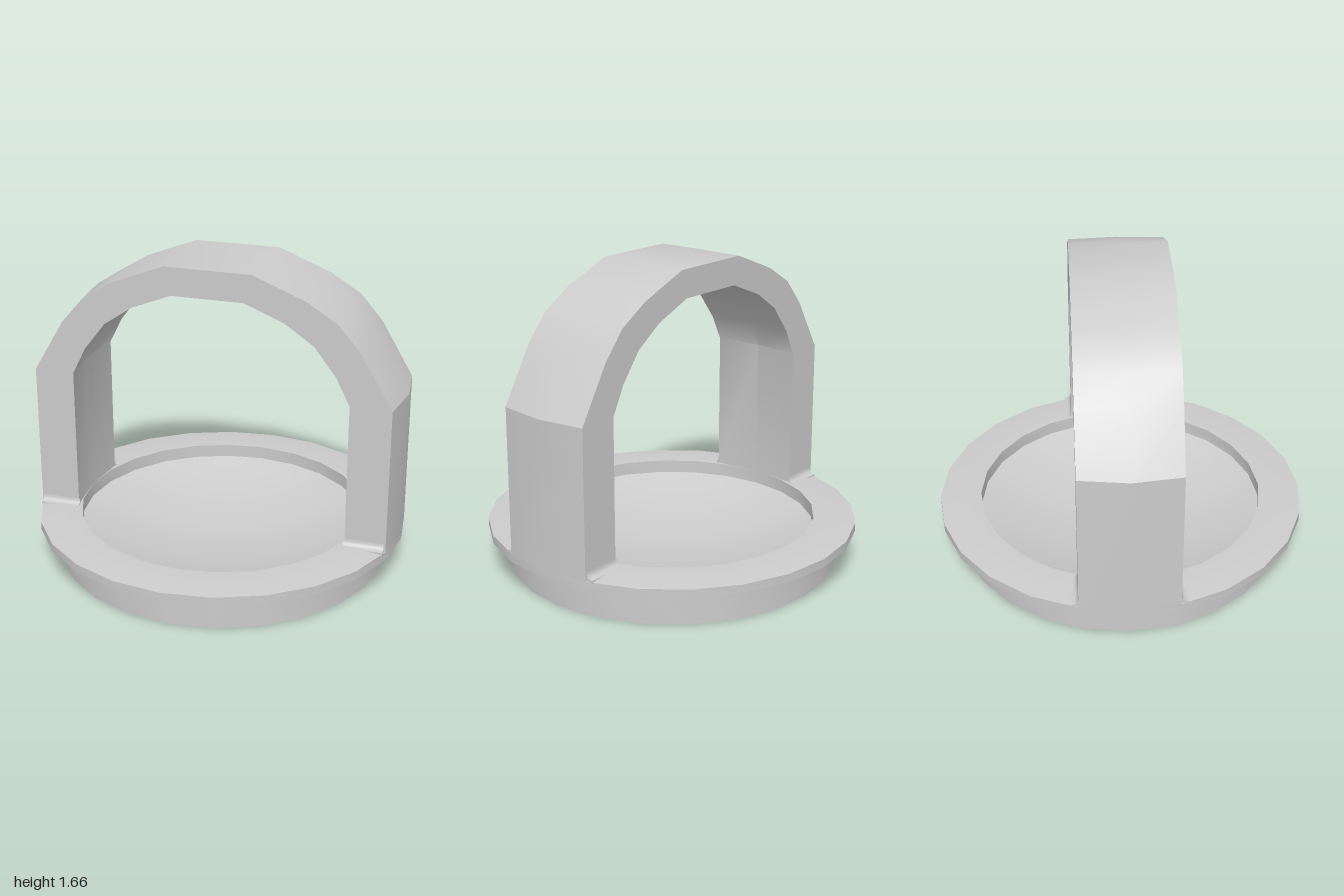
import * as THREE from 'three';
import { toCreasedNormals } from 'three/addons/utils/BufferGeometryUtils.js';

const SIDES = 24;
const HALF_WIDTH = Math.sin(Math.PI / 12);  // strap covers one facet either side of the x axis
const EDGE_SCALE = Math.cos(Math.PI / 12);  // strap edges sit on the next rim corner
const CREASE = 0.5;

export function createModel() {
  const model = new THREE.Group();
  const material = new THREE.MeshStandardMaterial({ color: 0xcccccc });
  const add = (name, geometry) => {
    const mesh = new THREE.Mesh(toCreasedNormals(geometry, CREASE), material);
    mesh.name = name;
    model.add(mesh);
    return mesh;
  };

  // Base: foot, overhanging rim, inner step and shallow bowl
  const profile = [
    [0, 0], [0.89, 0], [0.89, 0.175], [1, 0.195], [1, 0.24],
    [0.89, 0.253], [0.775, 0.253], [0.775, 0.18],
  ];
  const bowlRings = 7;
  for (let i = 1; i <= bowlRings; i++) {
    const t = 1 - i / bowlRings;
    profile.push([0.775 * t, 0.04 + 0.14 * t * t]);
  }
  add('base', new THREE.LatheGeometry(profile.map(p => new THREE.Vector2(...p)), SIDES));

  // Arched handle: six-point section swept over matching outer and inner outlines
  const half = [
    // outer x, y, inner x, y
    [1, 0.24, 0.775, 0.24],
    [1, 1.025, 0.775, 1.025],
    [0.825, 1.31, 0.70, 1.17],
    [0.70, 1.45, 0.58, 1.32],
    [0.53, 1.55, 0.42, 1.425],
    [0.24, 1.66, 0.20, 1.51],
  ];
  const stations = [
    ...half,
    ...half.slice().reverse().map(([ox, oy, ix, iy]) => [-ox, oy, -ix, iy]),
  ];
  const positions = [];
  const index = [];
  stations.forEach(([ox, oy, ix, iy], s) => {
    for (const k of [-1, 0, 1]) positions.push(ox * (k ? EDGE_SCALE : 1), oy, k * HALF_WIDTH);
    for (const k of [1, 0, -1]) positions.push(ix * (k ? EDGE_SCALE : 1), iy, k * HALF_WIDTH);
    if (s === stations.length - 1) return;
    for (let j = 0; j < 6; j++) {
      const a = s * 6 + j;
      const b = s * 6 + (j + 1) % 6;
      index.push(a, a + 6, b, b, a + 6, b + 6);
    }
  });
  const handle = new THREE.BufferGeometry();
  handle.setAttribute('position', new THREE.Float32BufferAttribute(positions, 3));
  handle.setIndex(index);
  add('handle', handle);

  // Small fillets where each leg meets the rim
  const r = 0.035;
  const length = 0.215;
  for (const side of [-1, 1]) {
    for (const face of [-1, 1]) {
      const shape = new THREE.Shape();
      shape.moveTo(0, -0.012);
      shape.lineTo(-face * r, -0.012);
      shape.lineTo(-face * r, 0);
      shape.quadraticCurveTo(0, 0, 0, r);
      const geometry = new THREE.ExtrudeGeometry(shape, {
        depth: length, bevelEnabled: false, curveSegments: 5,
      });
      geometry.rotateY(Math.PI / 2);
      const fillet = add('legFillet', geometry);
      fillet.position.set(side > 0 ? 0.742 : -0.742 - length, 0.25, face * HALF_WIDTH);
    }
  }

  return model;
}
